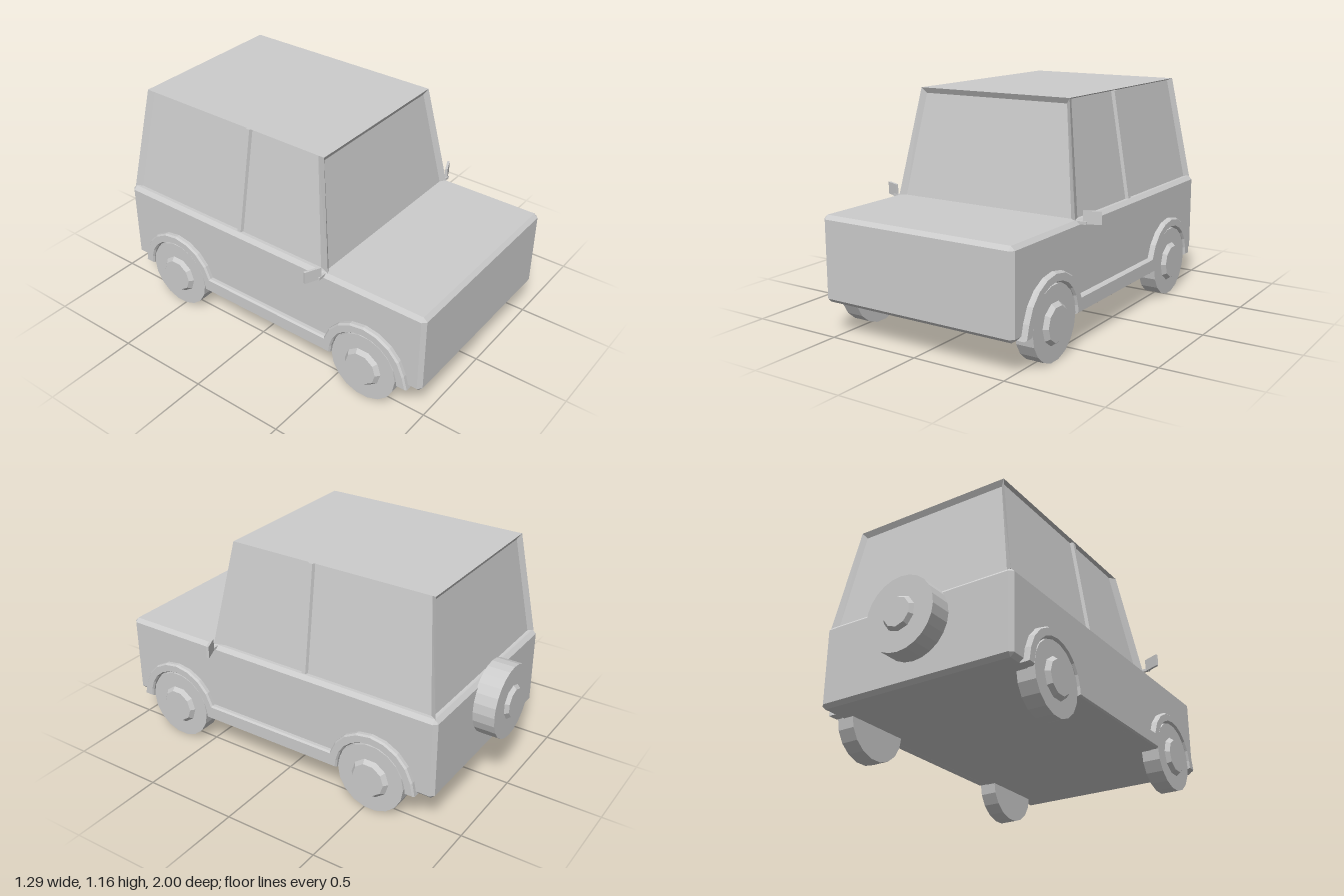
import * as THREE from 'three';
import { ConvexGeometry } from 'three/addons/geometries/ConvexGeometry.js';

const V = (x, y, z) => new THREE.Vector3(x, y, z);

export function createModel() {
  const model = new THREE.Group();
  const mat = new THREE.MeshStandardMaterial({ color: 0xcccccc, flatShading: true });
  const matDouble = new THREE.MeshStandardMaterial({ color: 0xcccccc, flatShading: true, side: THREE.DoubleSide });
  const add = (name, geo, parent = model, material = mat) => {
    const mesh = new THREE.Mesh(geo, material);
    mesh.name = name;
    parent.add(mesh);
    return mesh;
  };

  // Lower body: a box with every edge chamfered
  const hx = 0.547, hy = 0.2175, hz = 0.9325, c = 0.02;
  const corners = [];
  for (const sx of [-1, 1]) for (const sy of [-1, 1]) for (const sz of [-1, 1]) {
    corners.push(V(sx * hx, sy * (hy - c), sz * (hz - c)));
    corners.push(V(sx * (hx - c), sy * hy, sz * (hz - c)));
    corners.push(V(sx * (hx - c), sy * (hy - c), sz * hz));
  }
  add('body', new ConvexGeometry(corners)).position.set(0, 0.3925, 0.0675);

  // Cabin: tapered, with a recessed pane on each side
  const base = [V(-0.53, 0.605, 0.448), V(0.53, 0.605, 0.448), V(0.53, 0.605, -0.85), V(-0.53, 0.605, -0.85)];
  const roof = [V(-0.44, 1.167, 0.355), V(0.44, 1.167, 0.355), V(0.44, 1.167, -0.775), V(-0.44, 1.167, -0.775)];
  const pos = [];
  const quad = (a, b, d, e) => [a, b, d, a, d, e].forEach(p => pos.push(p.x, p.y, p.z));
  // Margins per wall: start, end, bottom, top
  const margins = [
    [0.03, 0.03, 0.015, 0.045], [0.043, 0.025, 0.01, 0.01],
    [0.03, 0.03, 0.02, 0.045], [0.025, 0.043, 0.01, 0.01],
  ];
  margins.forEach(([m0, m1, mb, mt], i) => {
    const j = (i + 1) % 4;
    const outer = [base[i], base[j], roof[j], roof[i]];
    const normal = V().subVectors(base[j], base[i]).cross(V().subVectors(roof[i], base[i])).normalize();
    const at = (u, v) => V().lerpVectors(
      V().lerpVectors(base[i], base[j], u), V().lerpVectors(roof[i], roof[j], u), v
    ).addScaledVector(normal, -0.02);
    const inner = [at(m0, mb), at(1 - m1, mb), at(1 - m1, 1 - mt), at(m0, 1 - mt)];
    for (let k = 0; k < 4; k++) {
      const n = (k + 1) % 4;
      quad(outer[k], outer[n], inner[n], inner[k]);
    }
    quad(...inner);
  });
  quad(...roof);
  const cabin = new THREE.BufferGeometry();
  cabin.setAttribute('position', new THREE.Float32BufferAttribute(pos, 3));
  cabin.computeVertexNormals();
  add('cabin', cabin, model, matDouble);

  // Door pillars between the side windows
  for (const s of [-1, 1]) {
    const pts = [];
    for (const [x, y, z] of [[0.528, 0.612, -0.115], [0.441, 1.16, -0.105]])
      for (const [dx, w] of [[-0.03, 0.02], [-0.003, 0.011]])
        for (const e of [-1, 1]) pts.push(V(s * (x + dx), y, z + e * w));
    add('doorPillar', new ConvexGeometry(pts));
  }

  // Wheel arches joined by a sill, as one bevelled strip on each side
  const frontZ = 0.685, rearZ = -0.53, axleY = 0.185;
  const arc = (cz, r, a0, a1, n) => Array.from({ length: n + 1 }, (_, i) => {
    const a = THREE.MathUtils.degToRad(a0 + (a1 - a0) * i / n);
    return new THREE.Vector2(cz + r * Math.cos(a), axleY + r * Math.sin(a));
  });
  const P = (x, y) => new THREE.Vector2(x, y);
  const outline = [
    P(frontZ + 0.245, 0.18), ...arc(frontZ, 0.235, 15, 165, 8),
    ...arc(rearZ, 0.235, 15, 165, 8), P(rearZ - 0.24, 0.18),
    P(rearZ - 0.2, 0.18), ...arc(rearZ, 0.198, 170, 10, 10),
    P(rearZ + 0.2, 0.18), P(frontZ - 0.2, 0.18),
    ...arc(frontZ, 0.198, 170, 10, 10), P(frontZ + 0.2, 0.18),
  ];
  const trimGeo = new THREE.ExtrudeGeometry(new THREE.Shape(outline), {
    depth: 0.035, bevelEnabled: true, bevelThickness: 0.01, bevelSize: 0.007, bevelSegments: 1,
  });
  for (const s of [-1, 1]) {
    // Shape x runs along z; the strip is centred in its own thickness
    const trim = add('archAndSillTrim', trimGeo.clone().translate(0, 0, -0.0175).rotateY(-Math.PI / 2), model);
    trim.position.x = s * 0.5475;
  }

  // Wheel turned about y; the outer face points to +y
  const wheel = (name, radius, width, hubR, hubH, sides) => {
    const g = new THREE.Group();
    g.name = name;
    add('tyre', new THREE.CylinderGeometry(radius, radius, width, sides), g);
    add('hub', new THREE.CylinderGeometry(hubR * 0.83, hubR, hubH, 10), g).position.y = (width + hubH) / 2;
    model.add(g);
    return g;
  };
  for (const s of [-1, 1]) for (const z of [frontZ, rearZ]) {
    const w = wheel(z > 0 ? 'frontWheel' : 'rearWheel', axleY, 0.095, 0.105, 0.022, 18);
    w.position.set(s * 0.5185, axleY, z);
    w.rotation.z = -s * Math.PI / 2;
  }
  const spare = wheel('spareWheel', 0.193, 0.12, 0.09, 0.02, 24);
  spare.position.set(-0.012, 0.475, -0.92);
  spare.rotation.x = -Math.PI / 2;

  // Wing mirrors, swept back
  for (const s of [-1, 1]) {
    const g = new THREE.Group();
    g.name = s > 0 ? 'leftMirror' : 'rightMirror';
    add('mirrorArm', new THREE.BoxGeometry(0.07, 0.014, 0.014), g).position.set(s * 0.545, 0.6, 0.428);
    const head = add('mirrorHead', new THREE.BoxGeometry(0.088, 0.064, 0.013), g);
    head.position.set(s * 0.601, 0.626, 0.41);
    head.rotation.y = s * 0.42;
    model.add(g);
  }
  return model;
}
